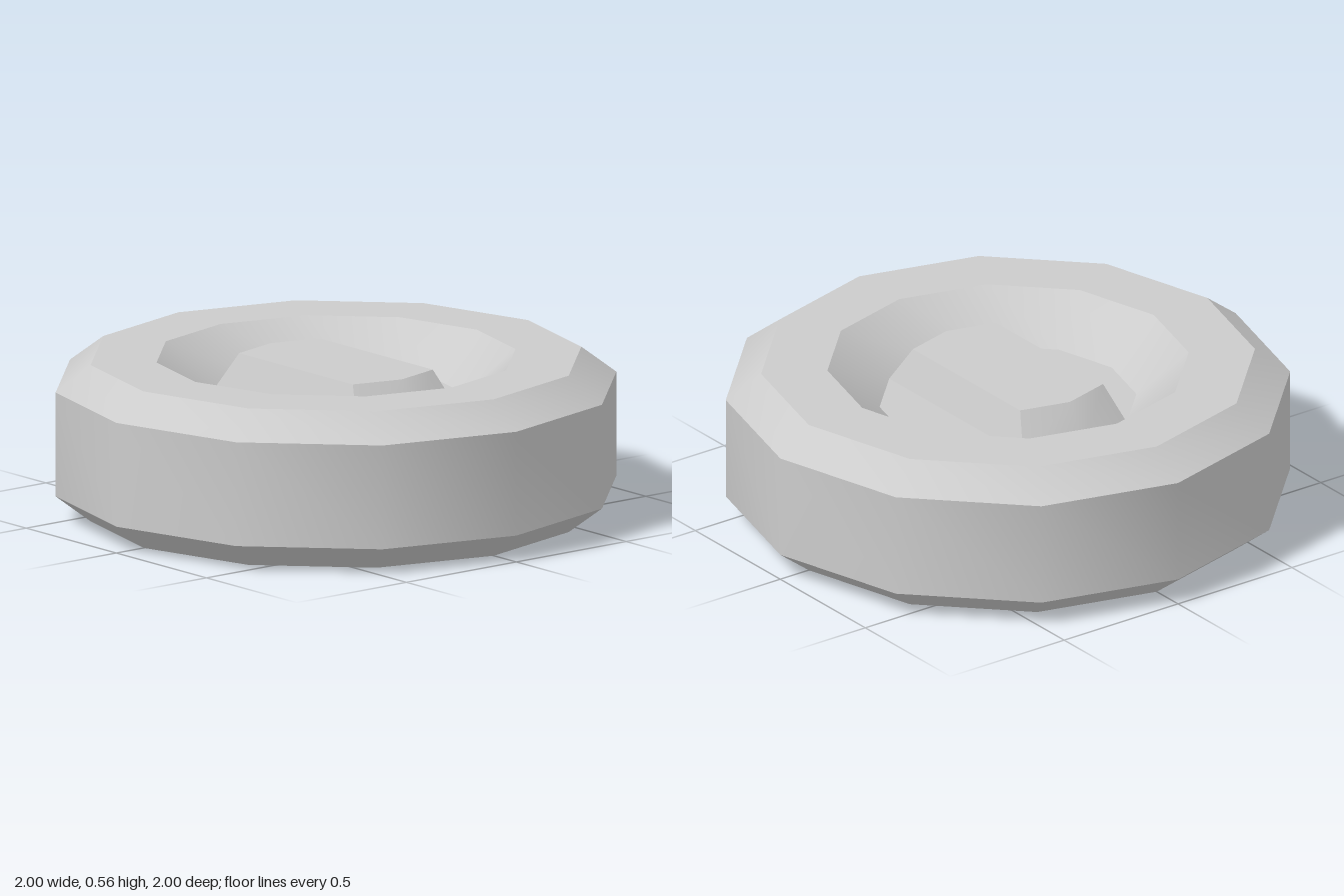
import * as THREE from 'three';
import { toCreasedNormals } from 'three/addons/utils/BufferGeometryUtils.js';

const CREASE = 0.6;
const FLOOR_Y = 0.413;
const FLOOR_R = 0.455;
const GRIP_TOP_Y = 0.545;

function part(name, geometry, material) {
  const mesh = new THREE.Mesh(toCreasedNormals(geometry, CREASE), material);
  mesh.name = name;
  return mesh;
}

// Twelve-sided chamfered disc with a tapered recess in its top
function discGeometry() {
  const profile = [
    [0, 0], [0.875, 0], [1, 0.095], [1, 0.47], [0.875, 0.565],
    [0.64, 0.565], [FLOOR_R, FLOOR_Y], [0, FLOOR_Y],
  ].map(([r, y]) => new THREE.Vector2(r, y));
  return new THREE.LatheGeometry(profile, 12);
}

// Tapered bar with pointed ends whose base corners meet the recess floor corners
function gripGeometry() {
  const height = GRIP_TOP_Y - FLOOR_Y;
  const geo = new THREE.CylinderGeometry(FLOOR_R * 0.8, FLOOR_R, height, 6);
  const pos = geo.attributes.position;
  for (let i = 0; i < pos.count; i++) {
    const x = pos.getX(i);
    // Turn the 60 degree corners into 30 degree ones, leaving the end points
    if (Math.abs(x) > 0.01) {
      pos.setX(i, x / Math.sqrt(3));
      pos.setZ(i, pos.getZ(i) * Math.sqrt(3));
    }
  }
  geo.translate(0, FLOOR_Y + height / 2, 0);
  return geo;
}

export function createModel() {
  const material = new THREE.MeshStandardMaterial({ color: 0xcccccc });
  const group = new THREE.Group();
  group.name = 'recessedDial';
  group.add(part('disc', discGeometry(), material));
  group.add(part('grip', gripGeometry(), material));
  return group;
}
